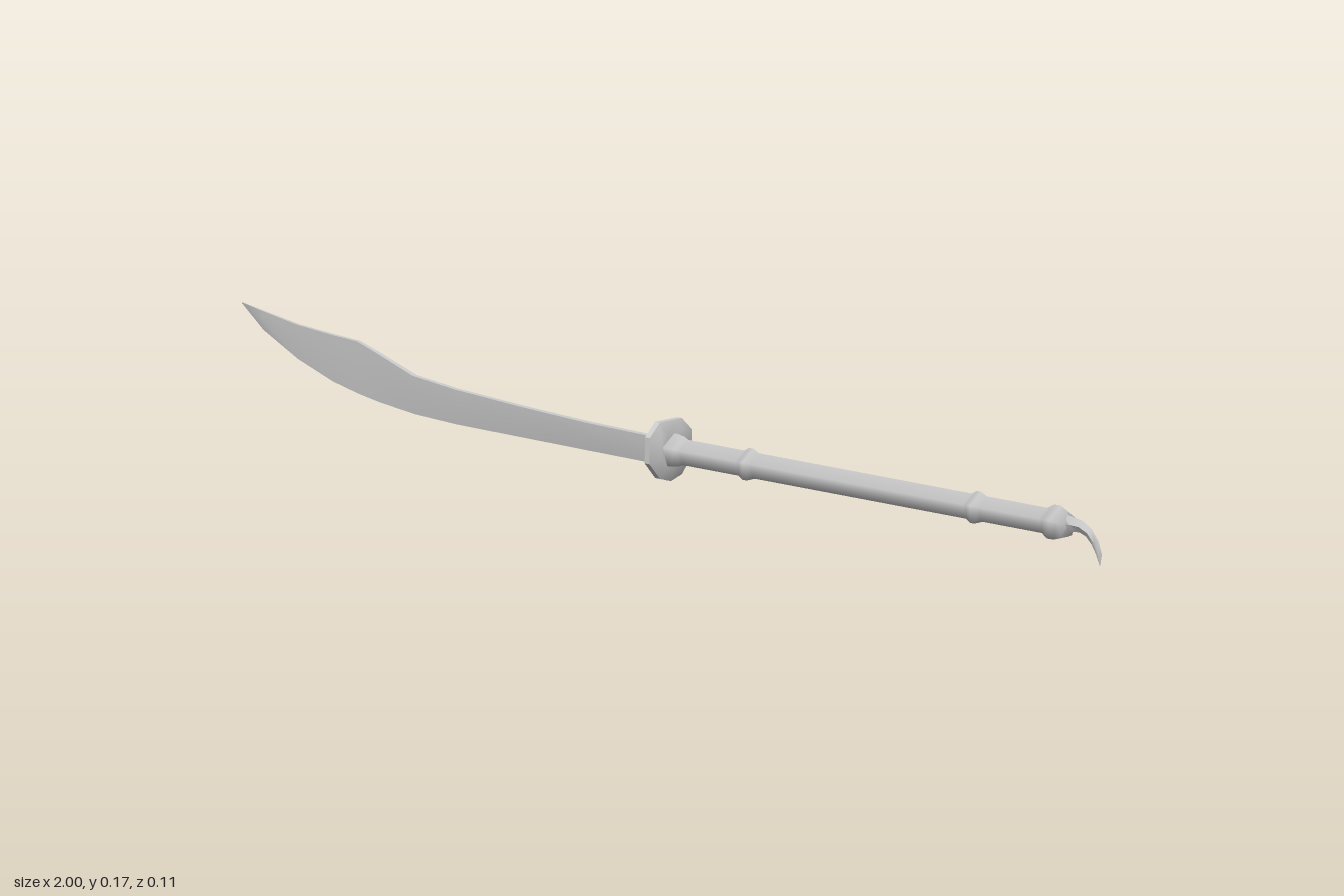
import * as THREE from 'three';
import { toCreasedNormals } from 'three/addons/utils/BufferGeometryUtils.js';

const AXIS_Y = 0.062;

// Skin a list of closed rings ([x, y, z] points, turning from +y to +z, running towards +x)
function loft(rings, crease) {
  const n = rings[0].length, last = (rings.length - 1) * n, index = [];
  for (let i = 0; i < rings.length - 1; i++) {
    for (let j = 0; j < n; j++) {
      const a = i * n + j, b = i * n + (j + 1) % n;
      index.push(a, b, b + n, a, b + n, a + n);
    }
  }
  for (let k = 1; k < n - 1; k++) {
    index.push(0, k + 1, k, last, last + k, last + k + 1);
  }
  const g = new THREE.BufferGeometry();
  g.setAttribute('position', new THREE.Float32BufferAttribute(rings.flat(2), 3));
  g.setIndex(index);
  return toCreasedNormals(g, crease);
}

export function createModel() {
  const model = new THREE.Group();
  model.name = 'glaive';
  const material = new THREE.MeshStandardMaterial({ color: 0xcccccc });
  const add = (name, geometry) => {
    const mesh = new THREE.Mesh(geometry, material);
    mesh.name = name;
    model.add(mesh);
  };

  // Blade: x, spine height, edge height, half thickness
  const blade = [
    [-1, 0.177, 0.175, 0.0005], [-0.95, 0.169, 0.136, 0.002],
    [-0.87, 0.157, 0.097, 0.003], [-0.79, 0.151, 0.07, 0.004],
    [-0.73, 0.148, 0.057, 0.004], [-0.68, 0.133, 0.049, 0.0045],
    [-0.6, 0.107, 0.04, 0.005], [-0.5, 0.097, 0.036, 0.005],
    [-0.35, 0.089, 0.035, 0.0055], [-0.2, 0.083, 0.034, 0.006],
    [-0.01, 0.08, 0.033, 0.006],
  ].map(([x, top, edge, w]) => {
    const mid = top + (edge - top) * 0.45;
    return [[x, top, -w], [x, top, w], [x, mid, w * 0.8], [x, edge, 0], [x, mid, -w * 0.8]];
  });
  add('blade', loft(blade, 0.6));

  // Nine-sided guard with bevelled rim
  const half = [[0.113, 0.027], [0.09, 0.052], [0.045, 0.053], [0.016, 0.027]];
  const outline = [...half, [0.008, 0], ...half.map(([y, z]) => [y, -z]).reverse()];
  const guard = [[-0.022, 0.6], [-0.015, 1], [-0.004, 1], [0.004, 0.6]].map(([x, s]) =>
    outline.map(([y, z]) => [x, AXIS_Y + (y - AXIS_Y) * s, z * s]));
  add('guard', loft(guard, 0.7));

  // Five-sided shaft with collar, two rings and pommel, turned about the x axis
  const profile = [
    [0, -0.034], [0.024, -0.032], [0.029, -0.02], [0.03, 0.012], [0.027, 0.028], [0.023, 0.036],
    [0.023, 0.166], [0.029, 0.178], [0.029, 0.188], [0.023, 0.2],
    [0.023, 0.695], [0.029, 0.707], [0.029, 0.717], [0.023, 0.73],
    [0.023, 0.87], [0.031, 0.887], [0.031, 0.902], [0.025, 0.915], [0, 0.92],
  ].map(([r, x]) => new THREE.Vector2(r, x));
  const shaft = new THREE.LatheGeometry(profile, 5, -Math.PI / 2);
  shaft.rotateZ(-Math.PI / 2).translate(0, AXIS_Y, 0);
  add('shaft', shaft);

  // Hooked claw: upper point, lower point, half thickness
  const claw = [
    [0.905, 0.08, 0.905, 0.048, 0.007], [0.93, 0.078, 0.926, 0.051, 0.007],
    [0.953, 0.074, 0.945, 0.053, 0.006], [0.974, 0.063, 0.961, 0.048, 0.005],
    [0.99, 0.044, 0.974, 0.036, 0.004], [0.998, 0.022, 0.984, 0.021, 0.003],
    [0.994, 0.002, 0.992, 0.003, 0.0005],
  ].map(([ux, uy, lx, ly, w]) => {
    const mx = (ux + lx) / 2, my = (uy + ly) / 2;
    return [[ux, uy, 0], [mx, my, w], [lx, ly, 0], [mx, my, -w]];
  });
  add('claw', loft(claw, 0.9));

  return model;
}
